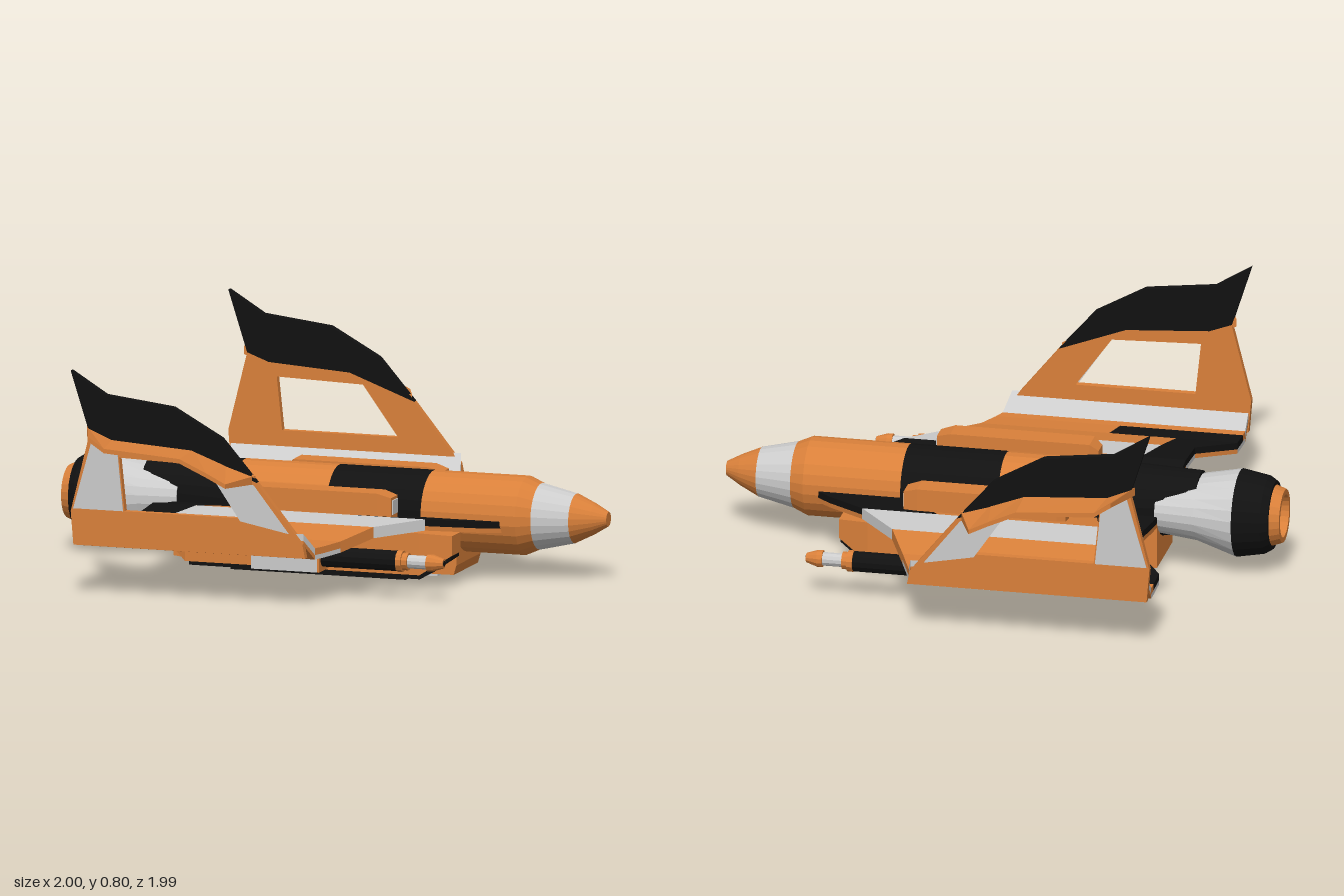
import * as THREE from 'three';

const paint = (color) => new THREE.MeshStandardMaterial({ color, flatShading: true });
const ORANGE = paint(0xd9803a), BLACK = paint(0x111111), WHITE = paint(0xcccccc);

// Closed skin through a row of cross-sections (arrays of [x, y, z]), wound outwards
function skin(rings) {
  const tris = [];
  const n = rings[0].length;
  for (let r = 0; r < rings.length - 1; r++) {
    for (let i = 0; i < n; i++) {
      const j = (i + 1) % n;
      const a = rings[r][i], b = rings[r][j], c = rings[r + 1][j], d = rings[r + 1][i];
      tris.push([a, b, c], [a, c, d]);
    }
  }
  const first = rings[0], last = rings[rings.length - 1];
  for (let i = 1; i < n - 1; i++) {
    tris.push([first[0], first[i + 1], first[i]], [last[0], last[i], last[i + 1]]);
  }
  let volume = 0;
  const v = (p) => new THREE.Vector3(...p);
  for (const [a, b, c] of tris) volume += v(a).dot(v(b).cross(v(c)));
  if (volume < 0) tris.forEach((t) => t.reverse());
  const geometry = new THREE.BufferGeometry();
  geometry.setAttribute('position', new THREE.Float32BufferAttribute(tris.flat(2), 3));
  geometry.computeVertexNormals();
  return geometry;
}

function add(parent, name, geometry, material) {
  const mesh = new THREE.Mesh(geometry, material);
  mesh.name = name;
  parent.add(mesh);
  return mesh;
}

// Round section along x: rows of [x, centreY, radiusY, radiusZ], centred on z
function round(rows, z = 0, sides = 24) {
  return skin(rows.map(([x, cy, ry, rz = ry]) => Array.from({ length: sides }, (_, i) => {
    const t = ((i + 0.5) / sides) * Math.PI * 2;
    return [x, cy + ry * Math.cos(t), z + rz * Math.sin(t)];
  })));
}

// Rectangular section along x: rows of [x, yBottom, yTop, zMin, zMax]
const boxy = (rows) => skin(rows.map(([x, y0, y1, z0, z1]) =>
  [[x, y0, z0], [x, y1, z0], [x, y1, z1], [x, y0, z1]]));

// Upright plate between two z positions, outlined in x and y
function plate(points, z0, z1, hole) {
  const toVec = (list) => list.map((p) => new THREE.Vector2(...p));
  const shape = new THREE.Shape(toVec(points));
  if (hole) shape.holes.push(new THREE.Path(toVec(hole)));
  const low = Math.min(z0, z1);
  return new THREE.ExtrudeGeometry(shape, { depth: Math.abs(z1 - z0), bevelEnabled: false })
    .translate(0, 0, low);
}

function buildFuselage(root) {
  const g = new THREE.Group();
  g.name = 'fuselage';
  root.add(g);
  const c = 0.22;
  add(g, 'noseTip', round([[0.88, c, 0.088], [0.95, c + 0.002, 0.055], [1, c + 0.004, 0.026]]), ORANGE);
  add(g, 'noseBand', round([[0.75, c, 0.118], [0.88, c, 0.088]]), WHITE);
  add(g, 'frontHull', round([[0.35, c, 0.14], [0.7, c, 0.14], [0.75, c, 0.118]]), ORANGE);
  add(g, 'hullBand', round([[0, c, 0.14], [0.35, c, 0.14]]), BLACK);
  add(g, 'middleHull', round([[-0.35, c, 0.14], [0, c, 0.14]]), ORANGE);
  add(g, 'rearHull', round([[-0.7, 0.235, 0.112], [-0.35, c, 0.14]]), BLACK);

  // Engine
  const e = 0.207;
  add(g, 'engineCone', round([[-0.84, e, 0.156], [-0.7, 0.218, 0.115, 0.145], [-0.56, c, 0.1, 0.133]]), WHITE);
  add(g, 'engineRing', round([[-0.965, e, 0.122], [-0.94, e, 0.138], [-0.84, e, 0.156]]), BLACK);
  add(g, 'exhaustLip', round([[-0.94, e, 0.07], [-1, e, 0.076], [-1, e, 0.095], [-0.965, e, 0.108], [-0.94, e, 0.108]]), ORANGE);
  add(g, 'exhaustCore', round([[-0.955, e, 0.068], [-0.93, e, 0.068]]), WHITE);

  // Belly keel
  add(g, 'belly', boxy([[-0.57, 0.025, 0.18, -0.13, 0.13], [-0.45, 0.01, 0.19, -0.13, 0.13],
    [0.47, 0.016, 0.19, -0.13, 0.13], [0.48, 0.05, 0.19, -0.13, 0.13]]), ORANGE);
  add(g, 'bellyPanel', boxy([[-0.42, 0.002, 0.03, -0.1, 0.1], [0.4, 0.002, 0.03, -0.1, 0.1]]), WHITE);
}

// Wing stations from root to bend: z, top height, trailing x, leading x
const STATIONS = [
  [0.12, 0.215, -0.57, 0.66], [0.2, 0.225, -0.57, 0.59], [0.35, 0.25, -0.57, 0.44],
  [0.5, 0.24, -0.57, 0.3], [0.65, 0.21, -0.69, 0.23], [0.74, 0.205, -0.69, 0.195],
  [0.78, 0.205, -0.69, 0.18], [0.845, 0.265, -0.69, 0.16],
];
// Per strip: colours from tail to nose, and the [inner, outer] x of each split; then underside
const STRIPS = [
  [[BLACK], [], ORANGE],
  [[BLACK, ORANGE, BLACK], [[-0.37, -0.41], [0.27, 0.17]], ORANGE],
  [[BLACK, WHITE], [[-0.41, -0.45]], WHITE],
  [[BLACK, ORANGE], [[-0.45, -0.47]], ORANGE],
  [[BLACK, ORANGE], [[-0.23, -0.25]], WHITE],
  [[ORANGE], [], WHITE],
  [[WHITE], [], ORANGE],
];

function buildWing(root, s, side) {
  const g = new THREE.Group();
  g.name = side + 'Wing';
  root.add(g);
  STRIPS.forEach(([colours, splits, under], i) => {
    const [zi, yi, ti, li] = STATIONS[i], [zo, yo, to, lo] = STATIONS[i + 1];
    const cuts = [[ti, to], ...splits, [li, lo]];
    const slab = (a, b, top, bottom) => skin([[zi, yi, 0], [zo, yo, 1]].map(([z, y, k]) =>
      [[a[k], y - top, z * s], [b[k], y - top, z * s], [b[k], y - bottom, z * s], [a[k], y - bottom, z * s]]));
    colours.forEach((colour, k) => add(g, 'wingPanel', slab(cuts[k], cuts[k + 1], 0, 0.024), colour));
    add(g, 'wingUnderside', slab(cuts[0], cuts[cuts.length - 1], 0.024, 0.04), under);
  });

  // Tail fin with window
  const ridge = [[-0.01, 0.44], [-0.13, 0.485], [-0.25, 0.53], [-0.55, 0.55], [-0.63, 0.58]];
  const z0 = 0.832 * s, z1 = 0.857 * s;
  add(g, 'finFrame', plate([[-0.69, 0.18], [0.17, 0.18], [0.16, 0.23], ...ridge, [-0.7, 0.3]], z0, z1,
    [[-0.5, 0.31], [-0.52, 0.5], [-0.2, 0.49], [-0.07, 0.31]]), ORANGE);
  add(g, 'finTop', plate([...ridge, [-0.7, 0.8], [-0.57, 0.72], [-0.32, 0.69], [-0.14, 0.59]], z0, z1), BLACK);
  const skinZ = 0.86 * s;
  add(g, 'rearStrutCover', plate([[-0.69, 0.31], [-0.505, 0.31], [-0.525, 0.51], [-0.62, 0.56]], z1, skinZ), WHITE);
  add(g, 'frontStrutCover', plate([[-0.07, 0.3], [0.11, 0.265], [-0.02, 0.43], [-0.13, 0.47], [-0.2, 0.49]], z1, skinZ), WHITE);

  // Bent winglet: inner x, outer x, height
  const bends = [[-0.645, -0.59, 0.59], [-0.55, -0.53, 0.55], [-0.25, -0.25, 0.53], [-0.13, -0.15, 0.485], [-0.02, -0.08, 0.45]];
  add(g, 'winglet', skin(bends.map(([xi, xo, y]) => [
    [xi, y + 0.012, 0.84 * s], [xo, y + 0.004, 0.993 * s], [xo, y - 0.012, 0.993 * s], [xi, y - 0.018, 0.84 * s],
  ])), ORANGE);
}

function buildStores(root, s, side) {
  const g = new THREE.Group();
  g.name = side + 'Stores';
  root.add(g);
  const z = 0.275 * s;
  const rows = (list) => boxy(list.map(([x, y0, y1, w]) => [x, y0, y1, z - w, z + w]));

  // Pod under the wing
  add(g, 'pod', rows([[-0.5, 0.09, 0.19, 0.055], [-0.45, 0.05, 0.2, 0.08], [0.42, 0.05, 0.2, 0.08],
    [0.53, 0.12, 0.19, 0.045]]), ORANGE);
  add(g, 'podKeel', rows([[-0.44, 0.035, 0.055, 0.065], [0.42, 0.035, 0.055, 0.075], [0.525, 0.105, 0.125, 0.042]]), BLACK);
  add(g, 'podRail', rows([[-0.3, 0.02, 0.04, 0.022], [0.35, 0.02, 0.04, 0.022]]), BLACK);

  // Fairing on top of the wing
  add(g, 'fairing', rows([[-0.28, 0.21, 0.3, 0.03], [-0.25, 0.21, 0.325, 0.045], [0.25, 0.21, 0.325, 0.045],
    [0.3, 0.21, 0.31, 0.036]]), ORANGE);
  add(g, 'fairingIntake', rows([[0.29, 0.25, 0.3, 0.027], [0.304, 0.25, 0.3, 0.027]]), WHITE);

  // Gun
  const gz = 0.58 * s, gy = 0.14;
  add(g, 'gunMount', boxy([[-0.11, 0.09, 0.185, gz - 0.05, gz + 0.05], [0.135, 0.09, 0.185, gz - 0.05, gz + 0.05]]), WHITE);
  add(g, 'gunMountFace', boxy([[0.135, 0.09, 0.185, gz - 0.05, gz + 0.05], [0.143, 0.09, 0.185, gz - 0.05, gz + 0.05]]), ORANGE);
  const gun = (name, list, colour) => add(g, name, round(list.map(([x, r]) => [x, gy, r]), gz, 12), colour);
  gun('gunBarrel', [[0.14, 0.036], [0.42, 0.036]], BLACK);
  gun('gunCollar', [[0.42, 0.038], [0.44, 0.038], [0.44, 0.031], [0.46, 0.031]], ORANGE);
  gun('gunSleeve', [[0.46, 0.024], [0.54, 0.024]], WHITE);
  gun('gunMuzzle', [[0.53, 0.03], [0.55, 0.03], [0.59, 0.017]], ORANGE);
  gun('gunBore', [[0.585, 0.01], [0.592, 0.01]], BLACK);
}

export function createModel() {
  const root = new THREE.Group();
  root.name = 'spacecraft';
  buildFuselage(root);
  // The craft points along +x, so its port and starboard wings lie on either side of z
  for (const [s, side] of [[1, 'front'], [-1, 'back']]) {
    buildWing(root, s, side);
    buildStores(root, s, side);
  }
  return root;
}
